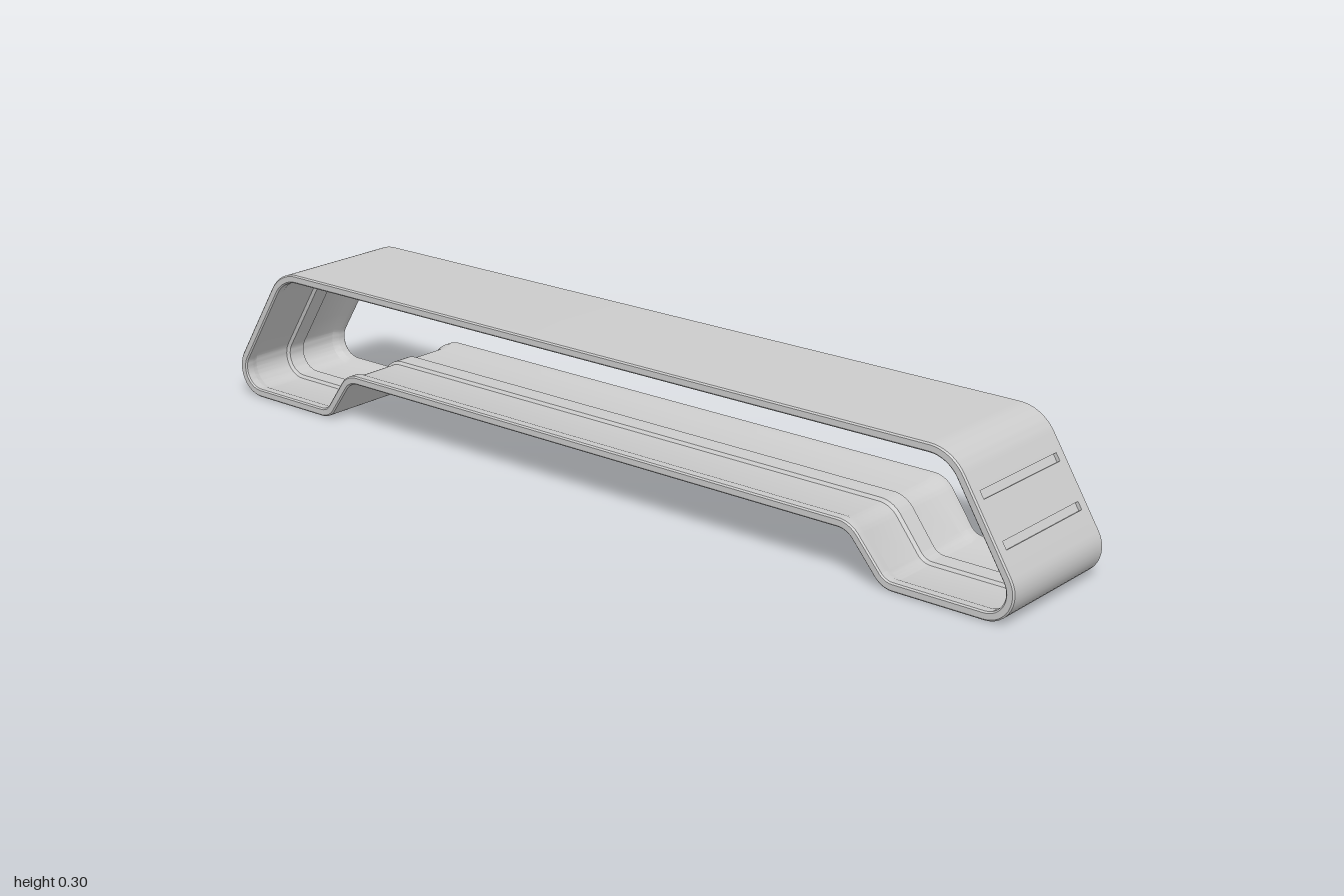
import * as THREE from 'three';
import { toCreasedNormals } from 'three/addons/utils/BufferGeometryUtils.js';

const WIDTH = 0.15; // half width of the band
const WALL = 0.018;
const GROOVES = [[0.133, 0.147], [0.215, 0.229]]; // heights on the sloping ends

// Corners of half the outer outline: z, y, fillet radius
const CORNERS = [
  [0, 0.098, 0], [0.645, 0.098, 0.04], [0.72, 0, 0.05],
  [1.047, 0, 0.06], [0.86, 0.302, 0.09], [0, 0.302, 0],
];

// Stations along the outline, each with its outward normal
function halfOutline() {
  const p = CORNERS.map(([z, y]) => new THREE.Vector2(z, y));
  const stations = [];
  const add = (z, y, nz, ny, cut = false) => stations.push({ z, y, nz, ny, cut });
  for (let i = 1; i < p.length - 1; i++) {
    const a = p[i].clone().sub(p[i - 1]).normalize();
    const b = p[i + 1].clone().sub(p[i]).normalize();
    const turn = Math.atan2(a.cross(b), a.dot(b));
    const r = CORNERS[i][2], s = Math.sign(turn);
    const start = p[i].clone().addScaledVector(a, -r * Math.tan(Math.abs(turn) / 2));
    const cz = start.x - a.y * r * s, cy = start.y + a.x * r * s;
    for (let k = 0; k <= 12; k++) {
      const t = Math.atan2(-a.x, a.y) + turn * k / 12;
      const nz = Math.cos(t), ny = Math.sin(t);
      add(cz + nz * r * s, cy + ny * r * s, nz, ny);
    }
    // Doubled stations give the end grooves square walls
    if (i === 3) {
      for (const [y0, y1] of GROOVES) {
        for (const [y, cut] of [[y0, false], [y0, true], [y1, true], [y1, false]]) {
          add(p[i].x + b.x / b.y * y, y, b.y, -b.x, cut);
        }
      }
    }
  }
  return stations;
}

// Cross-section through the wall: x and depth below the outer face
function section(cut) {
  const d = cut ? 0.007 : 0, e = 0.003;
  const half = [
    [0.126, d], [0.126, 0], [WIDTH - e, 0], [WIDTH, e], [WIDTH, WALL - e],
    [WIDTH - e, WALL], [0.13, WALL], [0.115, 0.012],
    [0.025, 0.012], [0.02, WALL],
  ];
  return [...half, ...half.map(([x, y]) => [-x, y]).reverse()];
}

function bandGeometry() {
  const half = halfOutline();
  const path = [...half, ...half.map((s) => ({ ...s, z: -s.z, nz: -s.nz })).reverse()];
  const rings = path.map((s) => {
    // The raised floor flares sideways as it climbs
    const onFloor = Math.abs(s.z) < 0.78 && s.y < 0.12;
    const flare = onFloor ? 1 + 0.053 * Math.min(1, s.y / 0.098) : 1;
    return section(s.cut).map(([x, d]) =>
      new THREE.Vector3(x * flare, s.y - s.ny * d, s.z - s.nz * d));
  });
  const positions = [];
  const triangle = (a, b, c) => {
    const area = b.clone().sub(a).cross(c.clone().sub(a)).length();
    if (area > 1e-10) for (const v of [a, b, c]) positions.push(v.x, v.y, v.z);
  };
  rings.forEach((ring, i) => {
    const next = rings[(i + 1) % rings.length];
    ring.forEach((a, j) => {
      const k = (j + 1) % ring.length;
      triangle(a, ring[k], next[j]);
      triangle(ring[k], next[k], next[j]);
    });
  });
  const geometry = new THREE.BufferGeometry();
  geometry.setAttribute('position', new THREE.Float32BufferAttribute(positions, 3));
  return toCreasedNormals(geometry, 0.4);
}

export function createModel() {
  const group = new THREE.Group();
  group.name = 'openBand';
  const band = new THREE.Mesh(bandGeometry(), new THREE.MeshStandardMaterial({ color: 0xcccccc }));
  band.name = 'bandShell';
  group.add(band);
  return group;
}
